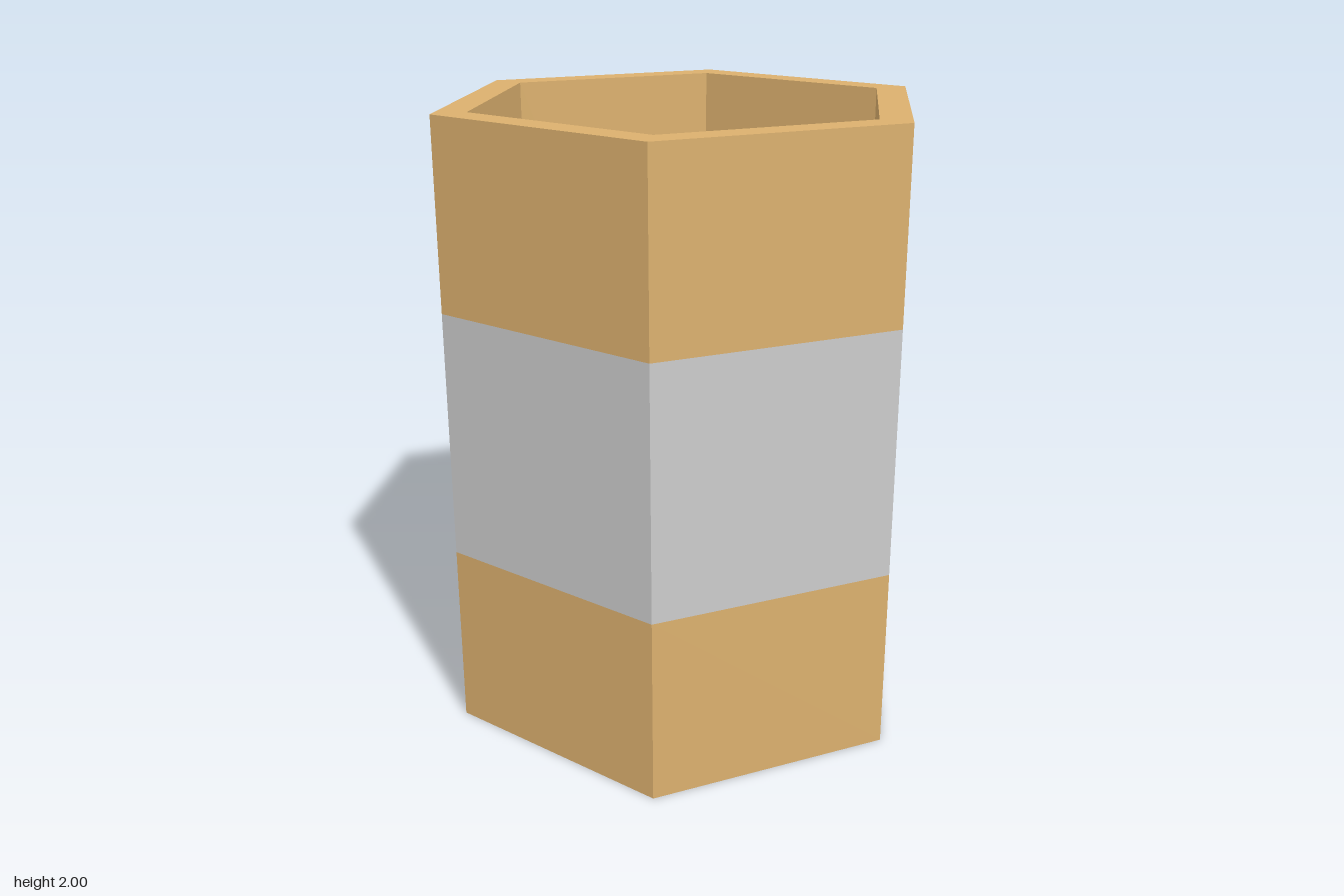
import * as THREE from 'three';

const SIDES = 6;
const OUTER = 0.8, INNER = 0.69;
const HEIGHT = 2, FLOOR = 0.1;
const BAND_LOW = 0.6, BAND_HIGH = 1.4;

const tan = new THREE.MeshStandardMaterial({ color: 0xdbb06e, flatShading: true });
const grey = new THREE.MeshStandardMaterial({ color: 0xcccccc, flatShading: true });

// Six-sided surface swept from [radius, height] points, with corners on the x axis
function hexSurface(name, profile, material) {
  const points = profile.map(([r, y]) => new THREE.Vector2(r, y));
  const geometry = new THREE.LatheGeometry(points, SIDES, Math.PI / 6);
  const mesh = new THREE.Mesh(geometry, material);
  mesh.name = name;
  return mesh;
}

export function createModel() {
  const cup = new THREE.Group();
  cup.name = 'hexagonalCup';

  // Closed underside and lower wall
  cup.add(hexSurface('base', [[0, 0], [OUTER, 0], [OUTER, BAND_LOW]], tan));

  // Grey band around the middle
  cup.add(hexSurface('middleBand', [[OUTER, BAND_LOW], [OUTER, BAND_HIGH]], grey));

  // Upper wall and flat rim
  cup.add(hexSurface('upperWall', [[OUTER, BAND_HIGH], [OUTER, HEIGHT], [INNER, HEIGHT]], tan));

  // Hollow inside with its floor
  cup.add(hexSurface('inside', [[INNER, HEIGHT], [INNER, FLOOR], [0, FLOOR]], tan));

  return cup;
}
